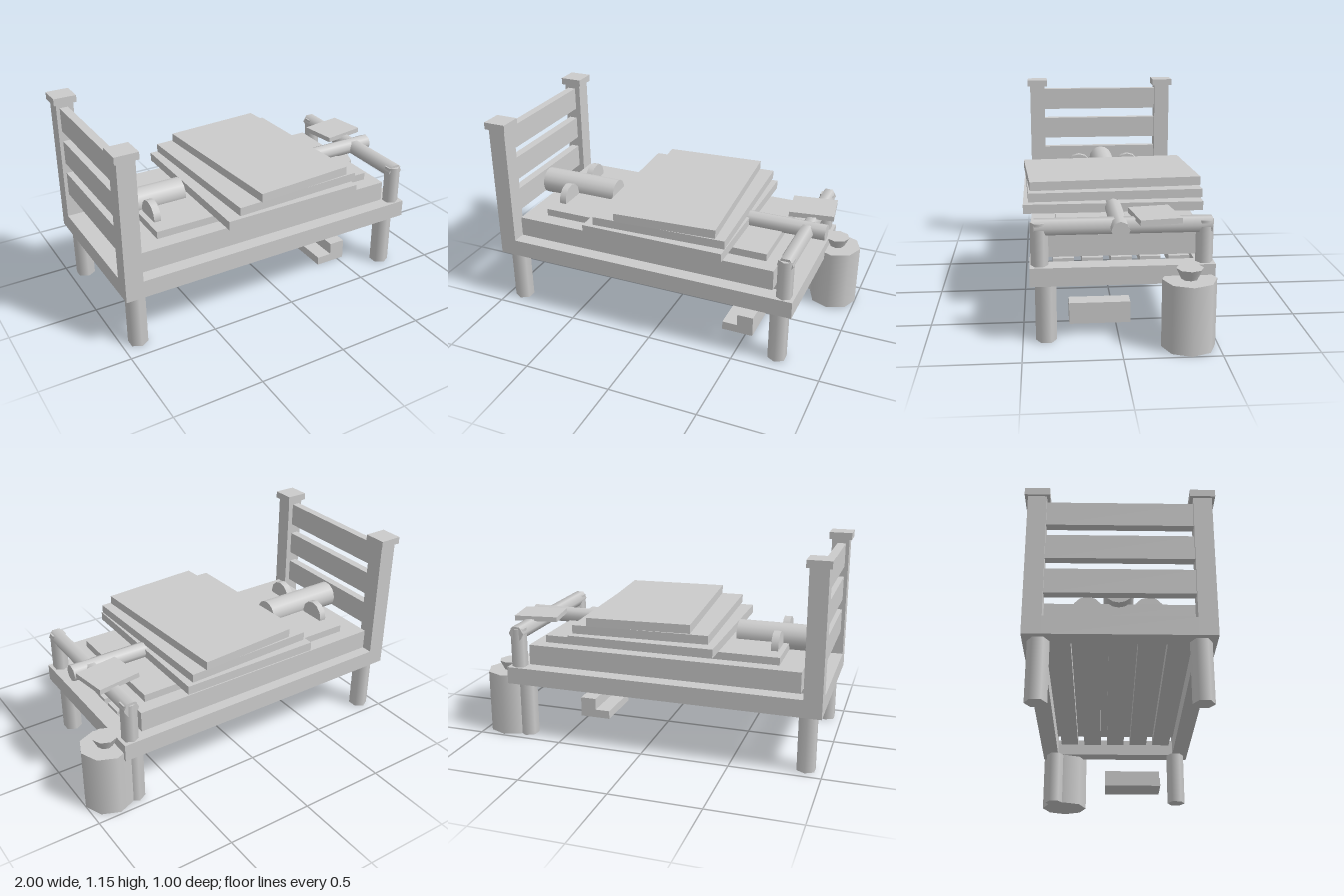
import * as THREE from 'three';

export function createModel() {
  const model = new THREE.Group();
  const material = new THREE.MeshStandardMaterial({ color: 0xcccccc });
  const midZ = -0.014; // the bed's own centre line

  function add(name, geometry, x = 0, y = 0, z = 0) {
    const mesh = new THREE.Mesh(geometry, material);
    mesh.name = name;
    mesh.position.set(x, y, z);
    model.add(mesh);
    return mesh;
  }
  // box given by its extents
  function box(name, x0, x1, y0, y1, z0, z1) {
    return add(name, new THREE.BoxGeometry(x1 - x0, y1 - y0, z1 - z0),
      (x0 + x1) / 2, (y0 + y1) / 2, (z0 + z1) / 2);
  }
  // slab turned about the vertical
  function slab(name, w, d, y0, y1, x, z, turn) {
    add(name, new THREE.BoxGeometry(w, y1 - y0, d), x, (y0 + y1) / 2, z).rotation.y = turn;
  }
  // upright post standing from y0 to y1
  function post(name, r, sides, x, z, y0, y1, rBottom = r) {
    return add(name, new THREE.CylinderGeometry(r, rBottom, y1 - y0, sides), x, (y0 + y1) / 2, z);
  }
  // rod lying along x
  function rodX(name, r, sides, x0, x1, y, z) {
    const g = new THREE.CylinderGeometry(r, r, x1 - x0, sides).rotateZ(Math.PI / 2);
    return add(name, g, (x0 + x1) / 2, y, z);
  }

  // frame, legs and posts, mirrored front to back
  for (const s of [1, -1]) {
    const inner = midZ + s * 0.374, outer = midZ + s * 0.471;
    const lo = Math.min(inner, outer), hi = Math.max(inner, outer);
    box('sideRail', -0.985, 0.815, 0.322, 0.42, lo, hi);
    box('headPost', -0.985, -0.885, 0.42, 1.115, lo, hi);
    box('headPostCap', -1, -0.87, 1.115, 1.155, lo - 0.016, hi + 0.016);
    for (const x of [-0.907, 0.73]) post('leg', 0.055, 6, x, midZ + s * 0.392, 0, 0.322);
    post('footPost', 0.0455, 6, 0.757, midZ + s * 0.42, 0.42, 0.645);
  }
  box('headRail', -0.985, -0.885, 0.322, 0.42, midZ - 0.374, midZ + 0.374);
  box('footRail', 0.715, 0.815, 0.322, 0.42, midZ - 0.374, midZ + 0.374);

  // headboard planks
  for (let i = 0; i < 3; i++) {
    const y = 0.955 - i * 0.198;
    box('headboardPlank', -0.965, -0.917, y, y + 0.136, midZ - 0.374, midZ + 0.374);
  }

  // bed slats under the mattress
  for (let i = -2; i <= 2; i++) {
    const z = midZ + i * 0.149;
    box('bedSlat', -0.885, 0.715, 0.39, 0.437, z - 0.054, z + 0.054);
  }

  // footboard bar
  const bar = new THREE.CylinderGeometry(0.045, 0.045, 0.9, 6).rotateY(Math.PI / 2).rotateX(Math.PI / 2);
  add('footBar', bar, 0.757, 0.62, midZ - 0.005);

  // bedding
  box('mattress', -0.865, 0.69, 0.437, 0.553, -0.442, 0.402);
  box('mattressTop', -0.735, 0.622, 0.553, 0.595, -0.364, 0.316);
  box('lowerBlanket', -0.4, 0.427, 0.595, 0.645, -0.488, 0.492);
  slab('middleBlanket', 0.766, 0.95, 0.66, 0.708, 0.033, 0.002, 0.037);
  slab('upperBlanket', 0.58, 0.947, 0.708, 0.757, 0.056, 0.002, 0.069);

  // bolster with a round disc at each side
  rodX('bolster', 0.077, 16, -0.915, -0.435, 0.612, -0.019);
  for (const s of [1, -1]) rodX('bolsterDisc', 0.08, 12, -0.705, -0.665, 0.608, -0.019 + s * 0.16);

  // rod across the foot bar, and the small board lying on it
  rodX('crossRod', 0.047, 8, 0, 0.866, 0.622, 0.004);
  slab('smallBoard', 0.254, 0.216, 0.648, 0.677, 0.738, -0.18, 0.148);

  // jar beside the bed
  post('jarBody', 0.14, 8, 0.86, -0.345, 0, 0.363);
  post('jarNeck', 0.07, 8, 0.86, -0.345, 0.363, 0.42, 0.043);

  // step under the bed
  const step = new THREE.Shape([[0.357, 0], [0.542, 0], [0.542, 0.12], [0.447, 0.12], [0.447, 0.05], [0.357, 0.05]]
    .map(([x, y]) => new THREE.Vector2(x, y)));
  add('step', new THREE.ExtrudeGeometry(step, { depth: 0.333, bevelEnabled: false }), 0, 0, -0.08);

  return model;
}
